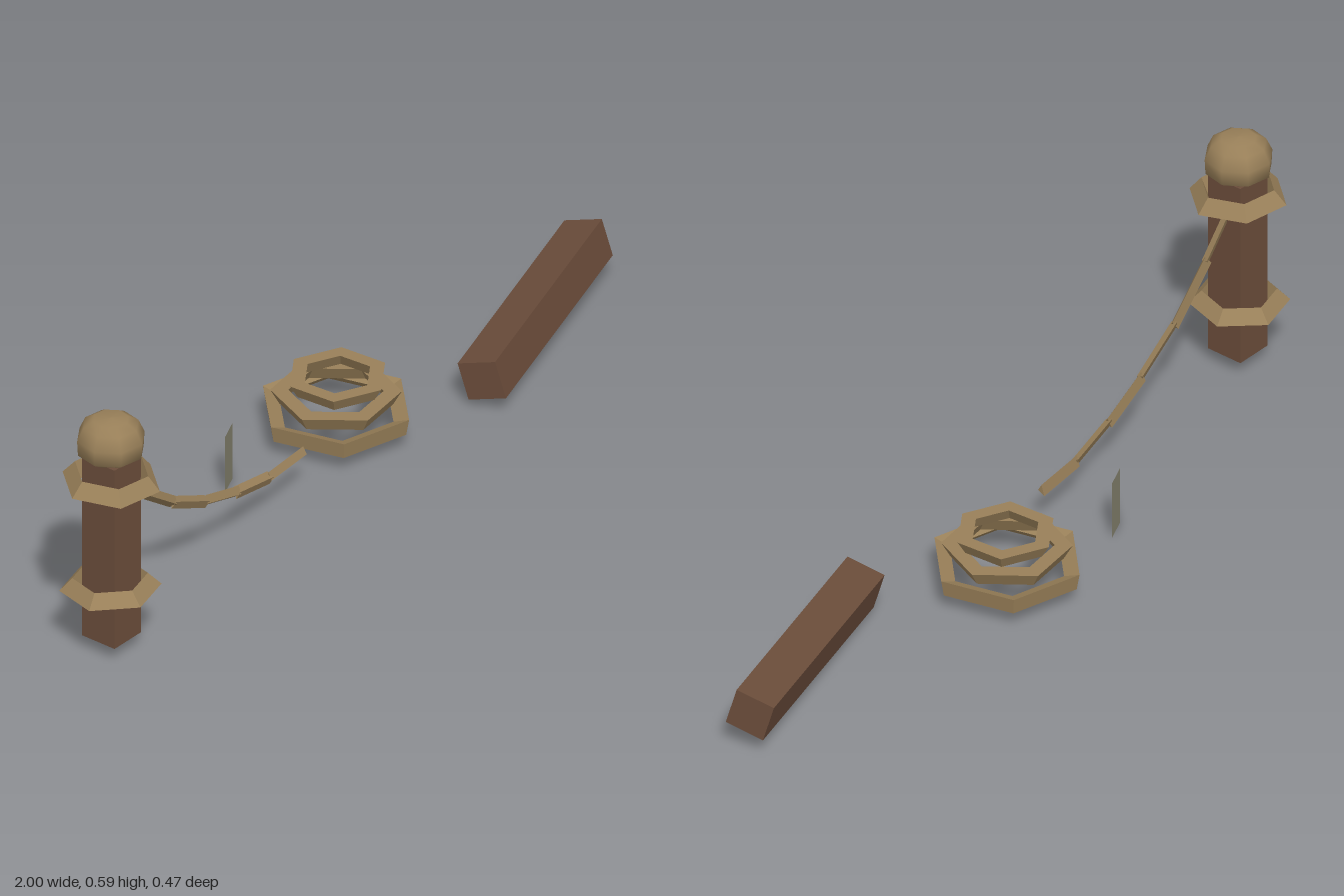
import * as THREE from 'three';

const wood = new THREE.MeshStandardMaterial({ color: 0x6a4c3a });
wood.name = 'brown wood';
const rope = new THREE.MeshStandardMaterial({ color: 0x998059 });
rope.name = 'tan rope';
const cloth = new THREE.MeshStandardMaterial({ color: 0x86836f, side: THREE.DoubleSide });
cloth.name = 'grey cloth';

// Faceted normals stored in the geometry
function facet(geometry) {
  const g = geometry.toNonIndexed();
  g.computeVertexNormals();
  return g;
}

function addMesh(parent, name, geometry, material, x = 0, y = 0, z = 0) {
  const mesh = new THREE.Mesh(geometry, material);
  mesh.name = name;
  mesh.position.set(x, y, z);
  parent.add(mesh);
  return mesh;
}

// Six-sided rope loop with a triangular section; turn rolls the section
function ropeLoop(radius, thickness, turnDeg, phaseDeg) {
  const points = [];
  for (let i = 0; i <= 3; i++) {
    const a = THREE.MathUtils.degToRad(turnDeg + i * 120);
    points.push(new THREE.Vector2(radius + thickness * Math.cos(a), thickness * Math.sin(a)));
  }
  return facet(new THREE.LatheGeometry(points, 6, THREE.MathUtils.degToRad(phaseDeg), Math.PI * 2));
}

export function createModel() {
  const model = new THREE.Group();
  model.name = 'ropePostSet';

  // Upright post with rounded cap
  addMesh(model, 'post', new THREE.BoxGeometry(0.092, 0.455, 0.092), wood, -0.885, 0.2625, 0.122);
  const capProfile = [[0, 0.485], [0.05, 0.486], [0.075, 0.502], [0.077, 0.538], [0.063, 0.569], [0.04, 0.583], [0, 0.586]]
    .map(([r, y]) => new THREE.Vector2(r, y));
  addMesh(model, 'postCap', new THREE.LatheGeometry(capProfile, 8, 0.2), rope, -0.885, 0, 0.12);

  // Rope loops around the post
  const upper = addMesh(model, 'upperPostLoop', ropeLoop(0.089, 0.025, -20, 20), rope, -0.888, 0.434, 0.124);
  upper.rotation.x = 0.03;
  const lower = addMesh(model, 'lowerPostLoop', ropeLoop(0.089, 0.024, -15, 45), rope, -0.888, 0.161, 0.121);
  lower.rotation.x = -0.03;

  // Sagging rope made of twisted three-sided lengths
  const hangingRope = new THREE.Group();
  hangingRope.name = 'hangingRope';
  const path = [
    [-0.84, 0.405, 0.115], [-0.76, 0.33, 0.107], [-0.63, 0.237, 0.088], [-0.5, 0.172, 0.073],
    [-0.37, 0.127, 0.056], [-0.24, 0.097, 0.04], [-0.11, 0.094, 0.027],
  ].map((p) => new THREE.Vector3(...p));
  for (let i = 0; i < path.length - 1; i++) {
    const along = path[i + 1].clone().sub(path[i]);
    const prism = new THREE.CylinderGeometry(0.018, 0.018, along.length() + 0.006, 3);
    prism.scale(0.9, 1, 0.5);
    prism.rotateY(i % 2 ? 0.35 : -0.25);
    const middle = path[i].clone().add(path[i + 1]).multiplyScalar(0.5);
    const length = addMesh(hangingRope, 'ropeLength', facet(prism), rope, ...middle.toArray());
    length.quaternion.setFromUnitVectors(new THREE.Vector3(0, 1, 0), along.normalize());
  }
  model.add(hangingRope);

  // Coil of rope on the ground
  const coil = new THREE.Group();
  coil.name = 'ropeCoil';
  coil.position.set(0.12, 0, -0.067);
  addMesh(coil, 'bottomCoil', ropeLoop(0.16, 0.023, 50, 15), rope, 0, 0.059, 0);
  addMesh(coil, 'middleCoil', ropeLoop(0.124, 0.023, 30, 38), rope, 0, 0.097, 0);
  addMesh(coil, 'topCoil', ropeLoop(0.097, 0.021, 30, 5), rope, 0.005, 0.136, 0);
  model.add(coil);

  // Thin hanging tag
  const tag = addMesh(model, 'tag', new THREE.PlaneGeometry(0.062, 0.142), cloth, -0.2, 0.071, -0.108);
  tag.rotation.y = 0.42;

  // Fallen beam, slightly rolled and tilted
  const beam = addMesh(model, 'fallenBeam', new THREE.BoxGeometry(0.61, 0.092, 0.092), wood, 0.69, 0.083, 0.028);
  beam.rotation.set(-0.27, 0.293, 0.036, 'YZX');

  return model;
}
